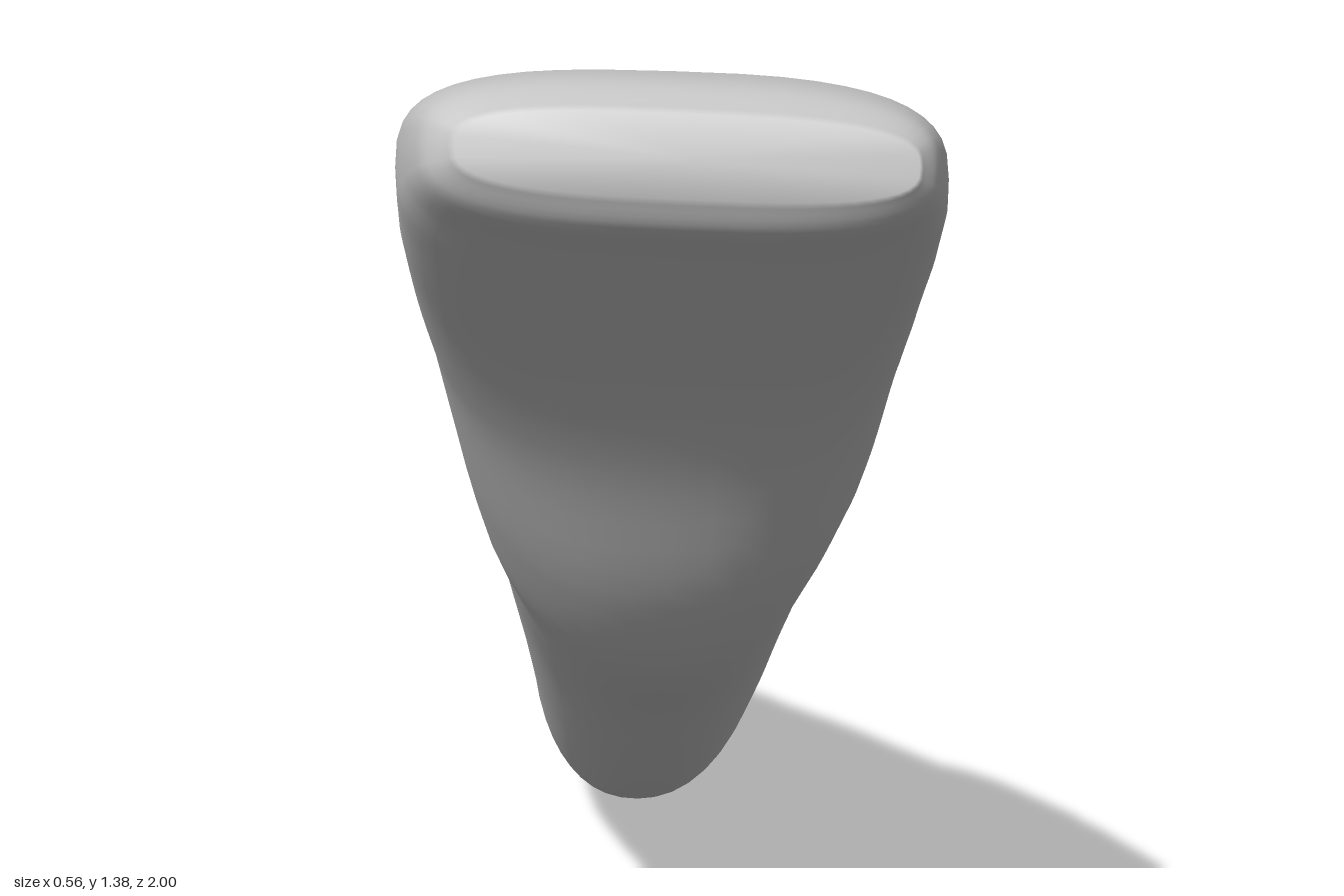
import * as THREE from 'three';

// Sections from root tip to biting edge:
// [underside z, y, upper side z, y, x min, x max, squareness]
const SECTIONS = [
  [-0.985, 0.07, -0.996, 0.13, -0.05, -0.005, 2],
  [-0.96, 0.035, -0.98, 0.17, -0.08, 0.01, 2],
  [-0.9, 0.012, -0.94, 0.225, -0.11, 0.035, 2],
  [-0.8, 0, -0.88, 0.3, -0.135, 0.06, 2.1],
  [-0.68, 0.01, -0.8, 0.375, -0.15, 0.085, 2.2],
  [-0.45, 0.065, -0.65, 0.487, -0.165, 0.115, 2.2],
  [-0.2, 0.17, -0.43, 0.657, -0.17, 0.145, 2.2],
  [0, 0.29, -0.24, 0.797, -0.18, 0.165, 2.2],
  [0.2, 0.43, -0.1, 0.9, -0.195, 0.185, 2.2],
  [0.4, 0.55, 0.03, 1.02, -0.207, 0.2, 2.2],
  [0.47, 0.61, 0.17, 1.115, -0.225, 0.22, 2.3],
  [0.55, 0.71, 0.33, 1.2, -0.24, 0.245, 2.4],
  [0.65, 0.88, 0.52, 1.28, -0.26, 0.265, 2.5],
  [0.74, 1.0, 0.66, 1.325, -0.275, 0.275, 2.7],
  [0.86, 1.12, 0.78, 1.357, -0.28, 0.28, 2.9],
  [0.94, 1.2, 0.86, 1.373, -0.272, 0.275, 3],
  [0.985, 1.24, 0.93, 1.375, -0.25, 0.26, 3],
  [1.0, 1.275, 0.975, 1.355, -0.215, 0.24, 3],
];
const SIDES = 48, STEPS = 85;

function toothGeometry() {
  const curve = (f) => new THREE.CatmullRomCurve3(SECTIONS.map(f));
  const under = curve((s) => new THREE.Vector3(0, s[1], s[0]));
  const upper = curve((s) => new THREE.Vector3(0, s[3], s[2]));
  const width = curve((s) => new THREE.Vector3(s[4], s[5], s[6]));
  const pos = [], index = [];

  // Superellipse rings along the tooth
  for (let i = 0; i <= STEPS; i++) {
    const t = i / STEPS;
    const lo = under.getPoint(t), hi = upper.getPoint(t), w = width.getPoint(t);
    const roll = 0.05 * THREE.MathUtils.smoothstep(t, 0.6, 1);
    for (let j = 0; j < SIDES; j++) {
      const a = (j / SIDES) * Math.PI * 2;
      const power = (v) => Math.sign(v) * Math.pow(Math.abs(v), 2 / w.z);
      const x = (w.x + w.y) / 2 + ((w.y - w.x) / 2) * power(Math.cos(a));
      const p = lo.clone().lerp(hi, 0.5 + 0.5 * power(Math.sin(a)));
      pos.push(x, p.y - roll * x, p.z);
    }
  }
  for (let i = 0; i < STEPS; i++) {
    for (let j = 0; j < SIDES; j++) {
      const a = i * SIDES + j, b = i * SIDES + ((j + 1) % SIDES);
      index.push(a, b, a + SIDES, b, b + SIDES, a + SIDES);
    }
  }

  // Rounded closing caps at root tip and biting edge
  const tip = pos.length / 3;
  pos.push(-0.03, 0.1, -1, 0.01, 1.315, 1);
  const last = STEPS * SIDES;
  for (let j = 0; j < SIDES; j++) {
    const k = (j + 1) % SIDES;
    index.push(tip, k, j, tip + 1, last + j, last + k);
  }
  const g = new THREE.BufferGeometry();
  g.setAttribute('position', new THREE.Float32BufferAttribute(pos, 3));
  g.setIndex(index);
  g.computeVertexNormals();
  return g;
}

export function createModel() {
  const group = new THREE.Group();
  group.name = 'incisorTooth';
  const enamel = new THREE.MeshStandardMaterial({ color: 0xc4c4c4 });
  enamel.name = 'lightGrey';
  const tooth = new THREE.Mesh(toothGeometry(), enamel);
  tooth.name = 'tooth';
  group.add(tooth);
  return group;
}
